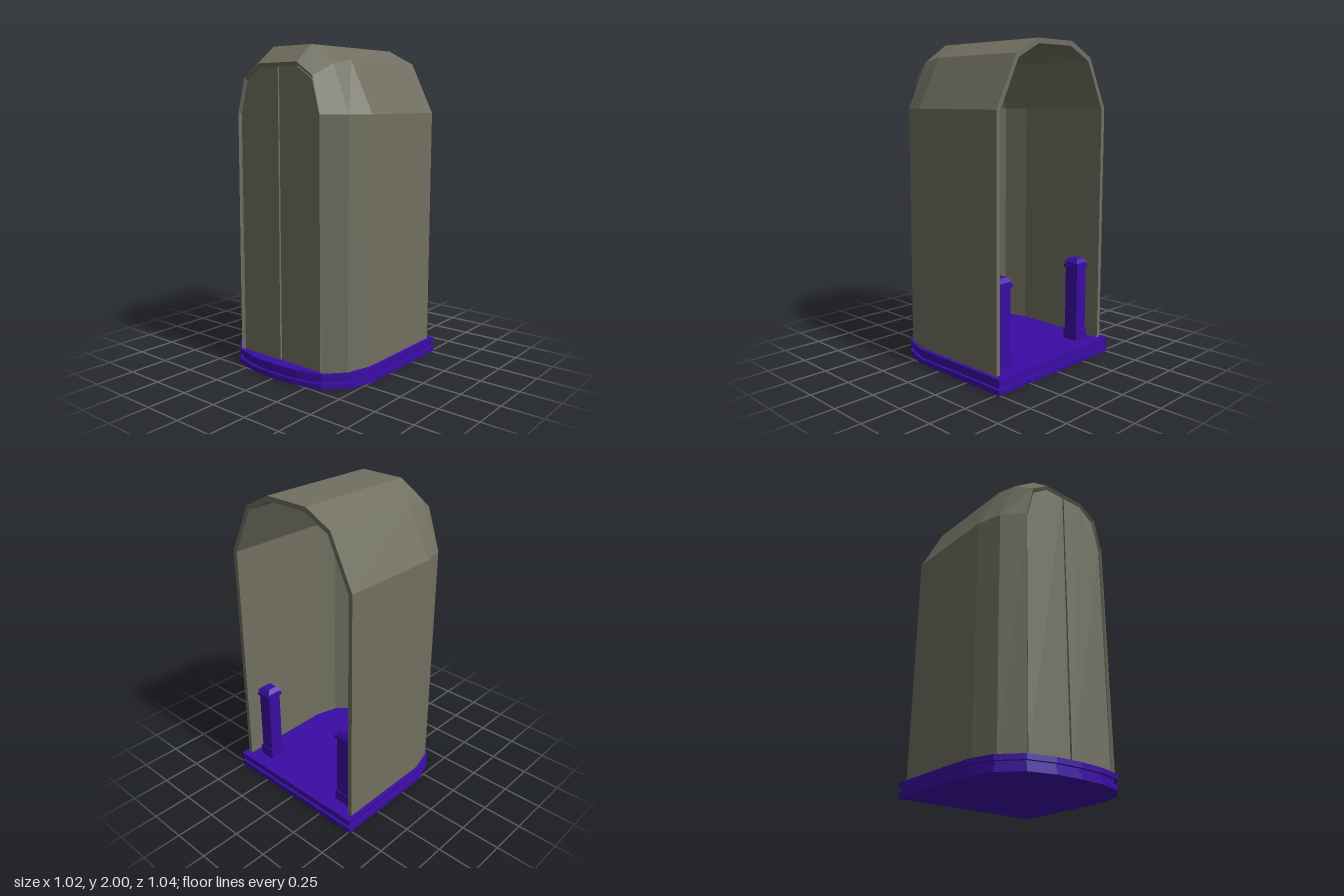
import * as THREE from 'three';

const wallMat = new THREE.MeshStandardMaterial({ color: 0x706f60, flatShading: true, side: THREE.DoubleSide });
const trimMat = new THREE.MeshStandardMaterial({ color: 0x3a0ca3, flatShading: true });

function add(parent, name, geometry, material) {
  const mesh = new THREE.Mesh(geometry, material);
  mesh.name = name;
  parent.add(mesh);
  return mesh;
}

// Full arch of eight points from its +x half, listed as [x, y, z] from the floor up
function arch(half) {
  return [...half, ...half.map(([x, y, z]) => [-x, y, z]).reverse()];
}

// Skin a sequence of arches with quads
function loft(rings) {
  const pos = [];
  for (let r = 0; r < rings.length - 1; r++) {
    const a = rings[r], b = rings[r + 1];
    for (let i = 0; i < a.length - 1; i++) {
      pos.push(...a[i], ...a[i + 1], ...b[i], ...a[i + 1], ...b[i + 1], ...b[i]);
    }
  }
  const g = new THREE.BufferGeometry();
  g.setAttribute('position', new THREE.Float32BufferAttribute(pos, 3));
  g.computeVertexNormals();
  return g;
}

// One slab of the floor plate, rounded towards the front
function plate(inset, y, height) {
  const half = [[0.51, -0.52], [0.51, 0.18], [0.46, 0.34], [0.34, 0.465], [0.17, 0.51]];
  const pts = [...half, [0, 0.52], ...half.map(([x, z]) => [-x, z]).reverse()];
  const k = 1 - inset / 0.51;
  const shape = new THREE.Shape(pts.map(([x, z]) => new THREE.Vector2(x * k, -z * k)));
  const g = new THREE.ExtrudeGeometry(shape, { depth: height, bevelEnabled: false });
  return g.rotateX(-Math.PI / 2).translate(0, y, 0);
}

function createPost(side) {
  const post = new THREE.Group();
  post.name = side > 0 ? 'leftPost' : 'rightPost';
  // [name, width, bottom, top]
  const blocks = [
    ['postFoot', 0.106, 0.09, 0.165],
    ['postShaft', 0.092, 0.165, 0.575],
    ['postCollar', 0.11, 0.575, 0.595],
    ['postNeck', 0.094, 0.595, 0.61],
  ];
  for (const [name, w, y0, y1] of blocks) {
    add(post, name, new THREE.BoxGeometry(w, y1 - y0, w).translate(0, (y0 + y1) / 2, 0), trimMat);
  }
  // Low tapered cap
  const cap = new THREE.CylinderGeometry(0.045, 0.078, 0.025, 4).rotateY(Math.PI / 4);
  add(post, 'postCap', cap.translate(0, 0.6225, 0), trimMat);
  post.position.set(0.355 * side, 0, -0.37);
  return post;
}

export function createModel() {
  const model = new THREE.Group();
  model.name = 'archedBooth';

  // Floor plate with a recessed groove
  const base = new THREE.Group();
  base.name = 'base';
  add(base, 'baseLower', plate(0, 0, 0.033), trimMat);
  add(base, 'baseGroove', plate(0.018, 0.033, 0.03), trimMat);
  add(base, 'baseUpper', plate(0, 0.063, 0.032), trimMat);
  model.add(base);

  // Hollow shell, open at the back: outer arches forward, then inner arches back
  const y = 0.09;
  const outer = (z) => arch([[0.485, y, z], [0.485, 1.6, z], [0.33, 1.91, z], [0.15, 2, z]]);
  const inner = (z) => arch([[0.457, y, z], [0.457, 1.593, z], [0.311, 1.887, z], [0.143, 1.97, z]]);
  const rings = [
    outer(-0.475),
    outer(0.18),
    arch([[0.44, y, 0.34], [0.44, 1.6, 0.34], [0.315, 1.885, 0.325], [0.15, 2, 0.32]]),
    arch([[0.33, y, 0.457], [0.325, 1.6, 0.457], [0.27, 1.815, 0.455], [0.15, 1.895, 0.453]]),
    arch([[0.316, y, 0.44], [0.316, 1.595, 0.44], [0.26, 1.8, 0.44], [0.147, 1.875, 0.44]]),
    arch([[0.316, y, 0.425], [0.316, 1.595, 0.425], [0.26, 1.8, 0.425], [0.147, 1.875, 0.425]]),
    arch([[0.414, y, 0.327], [0.414, 1.593, 0.327], [0.297, 1.86, 0.315], [0.143, 1.97, 0.31]]),
    inner(0.17),
    inner(-0.475),
    outer(-0.475),
  ];
  add(model, 'shell', loft(rings), wallMat);

  // Pair of door leaves and pair of posts
  for (const side of [1, -1]) {
    const outline = [[0.007, y], [0.311, y], [0.311, 1.593], [0.256, 1.797], [0.145, 1.872], [0.005, 1.872]];
    const shape = new THREE.Shape(outline.map(([px, py]) => new THREE.Vector2(px * side, py)));
    const leaf = new THREE.ExtrudeGeometry(shape, { depth: 0.02, bevelEnabled: false });
    add(model, side > 0 ? 'leftDoor' : 'rightDoor', leaf.translate(0, 0, 0.422), wallMat);
    model.add(createPost(side));
  }

  return model;
}
